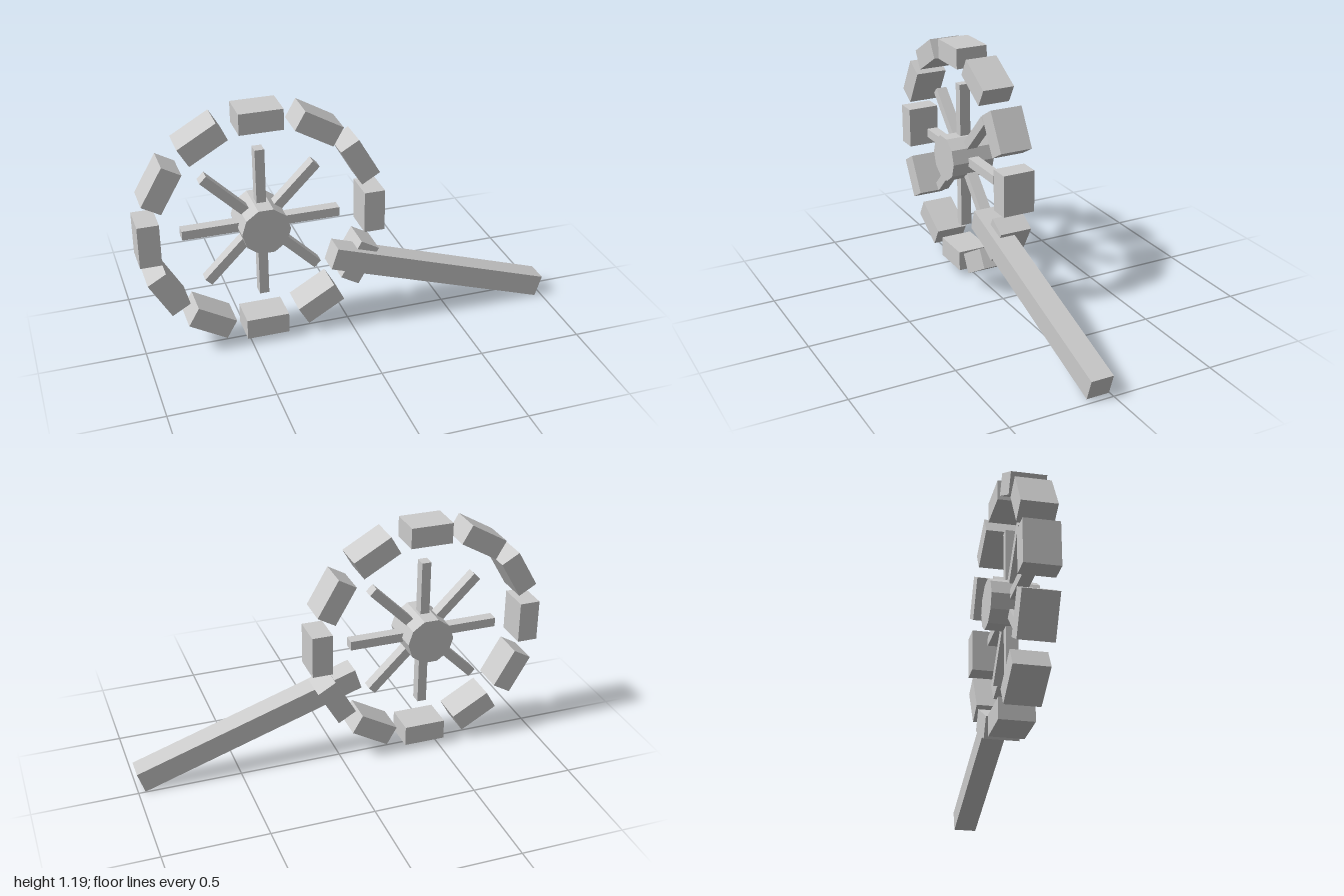
import * as THREE from 'three';

export function createModel() {
  const model = new THREE.Group();
  const material = new THREE.MeshStandardMaterial({ color: 0xcccccc, flatShading: true });

  function add(parent, name, geometry) {
    const mesh = new THREE.Mesh(geometry, material);
    mesh.name = name;
    parent.add(mesh);
    return mesh;
  }

  const wheel = new THREE.Group();
  wheel.name = 'wheel';
  wheel.position.set(-0.422, 0.615, 0);
  model.add(wheel);

  // Ring of twelve separate rim blocks
  const rimRadius = 0.53;
  const rimBlock = new THREE.BoxGeometry(0.1, 0.205, 0.16);
  for (let i = 0; i < 12; i++) {
    const a = (i * Math.PI) / 6;
    const block = add(wheel, 'rimBlock', rimBlock);
    block.position.set(Math.cos(a) * rimRadius, Math.sin(a) * rimRadius, 0);
    block.rotation.z = a;
  }

  // Four bars through the hub make eight spokes
  const spokeBar = new THREE.BoxGeometry(0.746, 0.045, 0.055);
  for (let i = 0; i < 4; i++) {
    add(wheel, 'spokes', spokeBar).rotation.z = (i * Math.PI) / 4;
  }

  // Ten-sided hub, with corners on the horizontal axis
  const hub = new THREE.CylinderGeometry(0.115, 0.115, 0.22, 10);
  hub.rotateY(Math.PI / 2).rotateX(Math.PI / 2);
  add(wheel, 'hub', hub);

  // Sloping beam in front of the wheel, resting on the ground
  const beam = add(model, 'beam', new THREE.BoxGeometry(1.14, 0.107, 0.11));
  beam.position.set(0.442, 0.232, 0.058);
  beam.rotation.z = -0.32;

  return model;
}
